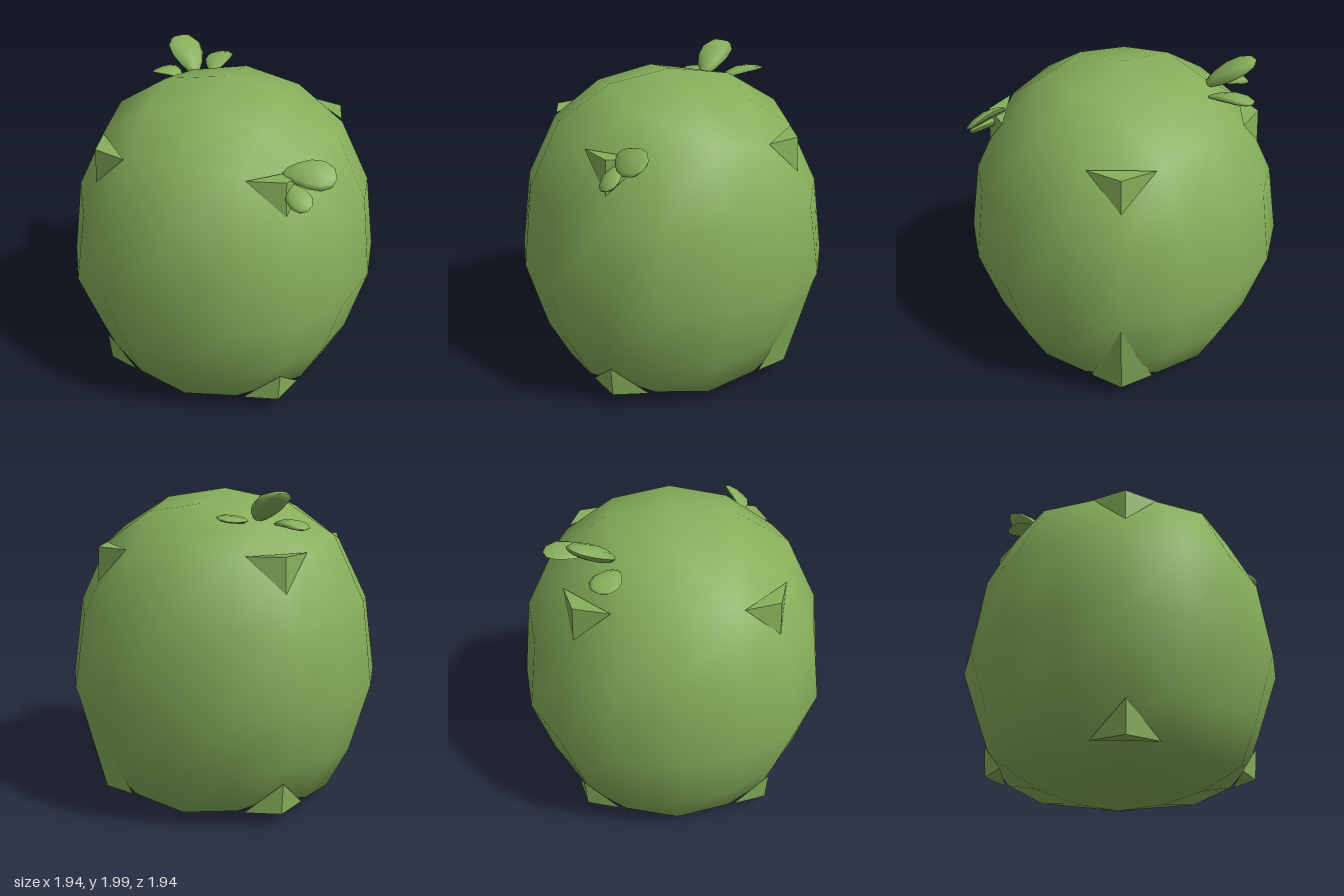
import * as THREE from 'three';
import { mergeVertices } from 'three/addons/utils/BufferGeometryUtils.js';

// Rounded-cube coordinates, chosen by the kind of grid point (sorted |steps|)
// and indexed by the step 0, 1 or 2 along each axis
const ROUNDED = {
  200: [0, 0, 0.97], 210: [0, 0.388, 0.906], 211: [0, 0.36, 0.844],
  220: [0, 0, 0.711], 221: [0, 0.334, 0.66], 222: [0, 0, 0.562],
};
// Height curve: rounded coordinate to final height, with a heavy flattened base
const HEIGHTS = [
  [-0.97, 0], [-0.906, 0.01], [-0.711, 0.07], [-0.388, 0.34], [0, 0.78],
  [0.388, 1.3], [0.711, 1.7], [0.906, 1.9], [0.97, 1.965],
];

function heightAt(v) {
  const i = Math.max(1, HEIGHTS.findIndex(([k]) => v <= k + 1e-4));
  const [k0, h0] = HEIGHTS[i - 1];
  const [k1, h1] = HEIGHTS[i];
  return THREE.MathUtils.mapLinear(v, k0, k1, h0, h1);
}

export function createModel() {
  const model = new THREE.Group();
  const leafGreen = new THREE.MeshStandardMaterial({ color: 0x86af5a });
  leafGreen.name = 'leaf green';

  const add = (name, geometry, parent = model) => {
    const mesh = new THREE.Mesh(geometry, leafGreen);
    mesh.name = name;
    parent.add(mesh);
  };

  // Bush body: a cube grid rounded into a ball, smooth normals
  const box = new THREE.BoxGeometry(4, 4, 4, 4, 4, 4);
  box.deleteAttribute('uv');
  box.deleteAttribute('normal');
  const body = mergeVertices(box);
  const grid = body.attributes.position;
  for (let i = 0; i < grid.count; i++) {
    const steps = [grid.getX(i), grid.getY(i), grid.getZ(i)].map(Math.round);
    const kind = steps.map(Math.abs).sort((a, b) => b - a).join('');
    const [x, y, z] = steps.map((s) => Math.sign(s) * ROUNDED[kind][Math.abs(s)]);
    const pinch = steps[1] === -1 ? 0.935 : 1;
    grid.setXYZ(i, x * pinch, heightAt(y), z * pinch);
  }
  body.computeVertexNormals();
  add('bushBody', body);

  // Faceted corner points that poke through the body
  const corner = (sx, sy, sz, ridge) => {
    const y = sy > 0 ? 1.64 : 0.1;
    const at = (x, h, z) => [x * sx, h, z * sz];
    const p = at(0.585, y, 0.585);
    const a = at(0.37, y, 0.645);
    const b = at(0.645, y, 0.37);
    const c = at(ridge[0], ridge[1], ridge[0]);
    const faces = [[p, b, a], [p, a, c], [p, c, b]];
    if (sx * sy * sz < 0) faces.forEach((f) => f.reverse());
    const geometry = new THREE.BufferGeometry();
    geometry.setAttribute('position', new THREE.Float32BufferAttribute(faces.flat(2), 3));
    geometry.computeVertexNormals();
    add(sy > 0 ? 'upperCorner' : 'lowerCorner', geometry);
  };
  for (const sx of [-1, 1]) {
    for (const sz of [-1, 1]) {
      corner(sx, 1, sz, [0.592, 1.43]);
      // One lower corner runs up into a long ridge
      corner(sx, -1, sz, sx > 0 && sz < 0 ? [0.703, 0.76] : [0.597, 0.3]);
    }
  }

  // A leaf: flattened ball, narrow at the base and bent a little along its length
  const leaf = (parent, base, tip, across, width, thickness, bend = 0.02) => {
    const from = new THREE.Vector3(...base);
    const along = new THREE.Vector3(...tip).sub(from);
    const length = along.length();
    along.normalize();
    const side = new THREE.Vector3(...across);
    side.addScaledVector(along, -side.dot(along)).normalize();
    const up = new THREE.Vector3().crossVectors(side, along);
    if (up.y < 0) {
      side.negate();
      up.negate();
    }
    const geometry = new THREE.SphereGeometry(0.5, 8, 6);
    const pos = geometry.attributes.position;
    for (let i = 0; i < pos.count; i++) {
      const t = pos.getY(i) + 0.5;
      const taper = 0.6 + 0.7 * t;
      pos.setXYZ(i, pos.getX(i) * width * taper, t * length,
        pos.getZ(i) * thickness + bend * 4 * t * (1 - t));
    }
    geometry.applyMatrix4(new THREE.Matrix4().makeBasis(side, along, up).setPosition(from));
    geometry.computeVertexNormals();
    add('leaf', geometry, parent);
  };

  // Sprout of three leaves on top, toward the back
  const topSprout = new THREE.Group();
  topSprout.name = 'topSprout';
  model.add(topSprout);
  leaf(topSprout, [-0.26, 1.8, -0.45], [-0.3, 1.84, -0.75], [1, 0.1, 0], 0.18, 0.045);
  leaf(topSprout, [-0.34, 1.81, -0.35], [-0.54, 1.985, -0.57], [1, 0, -1], 0.22, 0.09, 0.01);
  leaf(topSprout, [-0.44, 1.79, -0.33], [-0.65, 1.775, -0.43], [-0.4, 0, 1], 0.18, 0.045);

  // Pair of leaves on the front shoulder
  const sideSprout = new THREE.Group();
  sideSprout.name = 'sideSprout';
  model.add(sideSprout);
  leaf(sideSprout, [0.53, 1.65, 0.49], [0.83, 1.645, 0.45], [0, 0.6, -0.8], 0.19, 0.055);
  leaf(sideSprout, [0.55, 1.59, 0.5], [0.72, 1.51, 0.62], [0.6, 0.35, -0.7], 0.14, 0.06, 0.01);

  return model;
}
